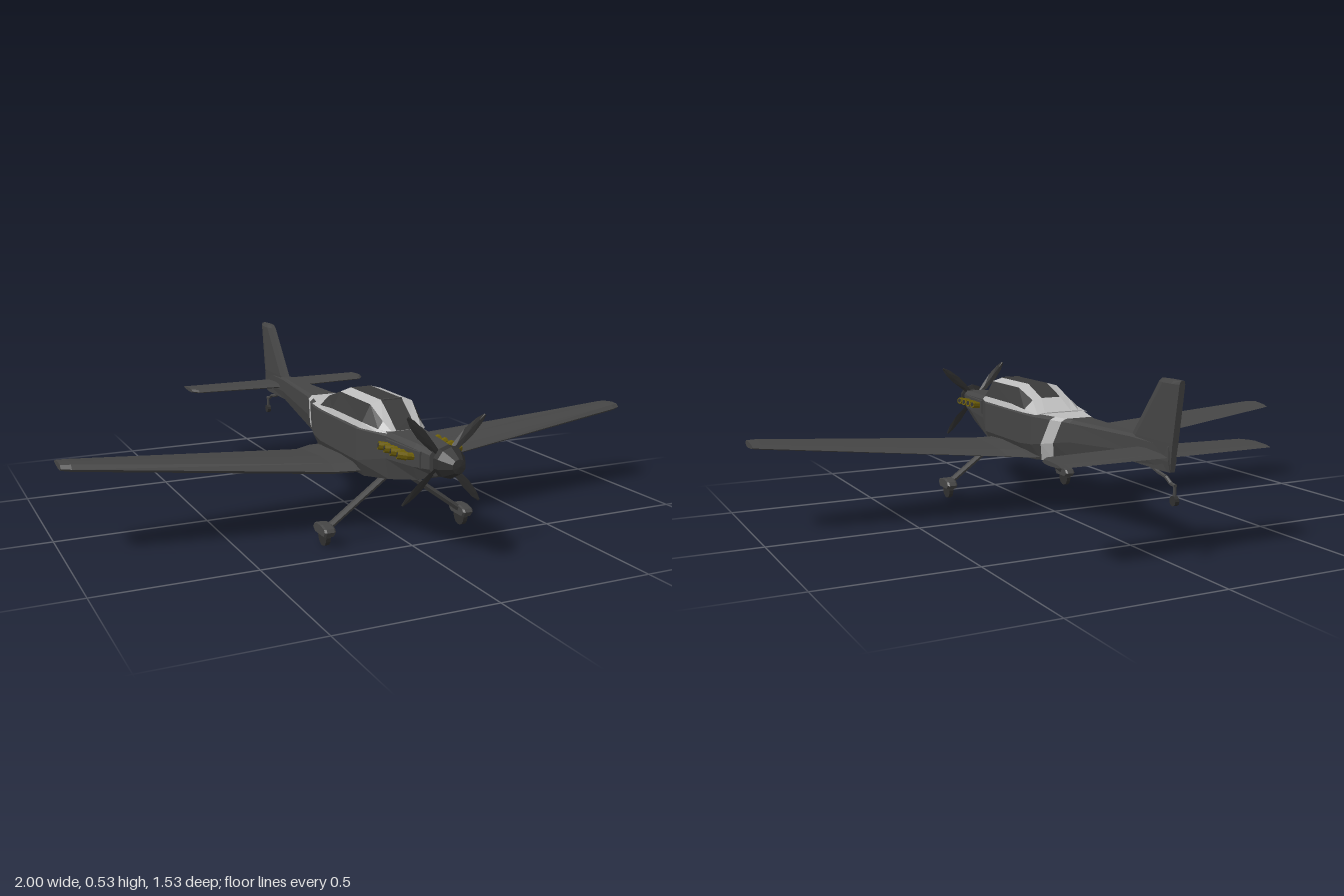
import * as THREE from 'three';

const material = (name, color) => {
  const m = new THREE.MeshStandardMaterial({ color, flatShading: true });
  m.name = name;
  return m;
};
const V = (x, y, z) => new THREE.Vector3(x, y, z);

// Closed flat-faced skin through rings of points; pick(row, column) chooses the material
function loft(name, rings, mats, pick = () => 0) {
  const lists = mats.map(() => []);
  const n = rings[0].length;
  for (let i = 0; i < rings.length - 1; i++) {
    for (let j = 0; j < n; j++) {
      const k = (j + 1) % n;
      const a = rings[i][j], b = rings[i][k], c = rings[i + 1][k], d = rings[i + 1][j];
      lists[pick(i, j)].push([a, b, c], [a, c, d]);
    }
  }
  const last = rings[rings.length - 1];
  for (let j = 1; j < n - 1; j++) {
    lists[0].push([rings[0][0], rings[0][j + 1], rings[0][j]], [last[0], last[j], last[j + 1]]);
  }
  // Turn the faces outward
  let volume = 0;
  lists.flat().forEach(([a, b, c]) => { volume += a.dot(b.clone().cross(c)); });
  const geo = new THREE.BufferGeometry();
  const pts = [];
  lists.forEach((tris, m) => {
    geo.addGroup(pts.length, tris.length * 3, m);
    tris.forEach(([a, b, c]) => pts.push(...(volume < 0 ? [a, c, b] : [a, b, c])));
  });
  geo.setFromPoints(pts);
  geo.computeVertexNormals();
  const mesh = new THREE.Mesh(geo, mats);
  mesh.name = name;
  return mesh;
}

// Straight round bar between two points
function rod(name, a, b, r, mat, sides = 8, r2 = r) {
  const mesh = new THREE.Mesh(new THREE.CylinderGeometry(r2, r, a.distanceTo(b), sides), mat);
  mesh.position.copy(a).add(b).multiplyScalar(0.5);
  mesh.quaternion.setFromUnitVectors(V(0, 1, 0), b.clone().sub(a).normalize());
  mesh.name = name;
  return mesh;
}

const mirrorRing = (half) => [...half, ...half.map((p) => V(-p.x, p.y, p.z)).reverse()];

// Fuselage table: z, top half width, side half width, top y, shoulder y, lower y, bottom half width, bottom y
const HULL = [
  [0.68, 0.035, 0.046, 0.350, 0.337, 0.295, 0.030, 0.273],
  [0.60, 0.043, 0.057, 0.354, 0.341, 0.285, 0.040, 0.243],
  [0.45, 0.058, 0.070, 0.357, 0.345, 0.275, 0.058, 0.208],
  [0.33, 0.098, 0.113, 0.358, 0.347, 0.245, 0.085, 0.191],
  [0.05, 0.098, 0.113, 0.357, 0.347, 0.245, 0.085, 0.191],
  [-0.03, 0.088, 0.104, 0.355, 0.345, 0.250, 0.078, 0.195],
  [-0.20, 0.040, 0.051, 0.352, 0.342, 0.280, 0.036, 0.222],
  [-0.52, 0.014, 0.020, 0.354, 0.345, 0.300, 0.012, 0.268],
  [-0.72, 0.010, 0.014, 0.350, 0.342, 0.300, 0.009, 0.270],
];
function hullAt(z) {
  let i = 0;
  while (i < HULL.length - 2 && z < HULL[i + 1][0]) i++;
  const t = (HULL[i][0] - z) / (HULL[i][0] - HULL[i + 1][0]);
  return HULL[i].map((v, k) => v + (HULL[i + 1][k] - v) * t);
}
function hullRing(zTop, zBottom = zTop) {
  const at = (f) => hullAt(zTop + (zBottom - zTop) * f);
  const a = at(0), b = at(0.08), c = at(0.65), d = at(1);
  return mirrorRing([V(a[1], a[3], a[0]), V(b[2], b[4], b[0]), V(c[2], c[5], c[0]), V(d[6], d[7], d[0])]);
}

export function createModel() {
  const plane = new THREE.Group();
  plane.name = 'propellerPlane';
  const grey = material('darkGrey', 0x454545);
  const light = material('lightGrey', 0xbcbcbc);
  const glass = material('smokedGlass', 0x3a3a3a);
  const dark = material('nearBlack', 0x303030);
  const brass = material('brass', 0x6e5f08);

  // Fuselage with a slanted light band and a light deck behind the canopy
  const stations = [[0.68], [0.6], [0.45], [0.33], [0.05], [-0.03, -0.02], [-0.12, -0.045],
    [-0.17, -0.105], [-0.2, -0.19], [-0.52], [-0.72]];
  plane.add(loft('fuselage', stations.map((s) => hullRing(...s)), [grey, light],
    (i, j) => (i === 6 || (i === 5 && j === 7) ? 1 : 0)));

  // Canopy: z, base half width, glass top half width, roof half width, base y, roof y
  const canopy = [
    [0.45, 0.062, 0.050, 0.034, 0.352, 0.358],
    [0.415, 0.084, 0.062, 0.035, 0.352, 0.387],
    [0.35, 0.107, 0.073, 0.036, 0.352, 0.435],
    [0.13, 0.110, 0.074, 0.036, 0.352, 0.435],
    [0.03, 0.108, 0.070, 0.036, 0.352, 0.397],
    [-0.05, 0.098, 0.064, 0.036, 0.352, 0.358],
  ].map(([z, b, g, r, y0, y1]) => {
    const h = y1 - y0;
    return mirrorRing([V(r, y1, z), V(g, y1 - h * 0.13, z), V(b - 0.006, y0 + h * 0.22, z), V(b, y0, z)]);
  });
  plane.add(loft('canopy', canopy, [light, glass], (i, j) => {
    const roof = j === 7 && i < 4;
    const side = (j === 1 || j === 5) && i > 0 && i < 4;
    return roof || side ? 1 : 0;
  }));
  // Roof hoop over the windshield
  const hoop = new THREE.Mesh(new THREE.BoxGeometry(0.072, 0.004, 0.008), grey);
  hoop.name = 'windshieldHoop';
  hoop.position.set(0, 0.435, 0.35);
  plane.add(hoop);

  // Main wing: x, leading z, trailing z, bottom y, top y
  const wingHalf = [
    [0.11, 0.33, -0.045, 0.19, 0.235],
    [0.18, 0.322, 0.0, 0.193, 0.236],
    [0.97, 0.225, 0.1, 0.276, 0.303],
    [1.0, 0.215, 0.106, 0.281, 0.303],
  ];
  const foil = ([x, le, te, yb, yt]) => {
    const c = le - te, h = yt - yb;
    return [V(x, yb + h * 0.45, le), V(x, yt - h * 0.1, le - c * 0.1), V(x, yt, le - c * 0.35),
      V(x, yb + h * 0.75, te + c * 0.2), V(x, yb + h * 0.4, te), V(x, yb + h * 0.15, te + c * 0.2),
      V(x, yb, le - c * 0.35), V(x, yb + h * 0.1, le - c * 0.1)];
  };
  const both = (half) => [...half.map((s) => [-s[0], ...s.slice(1)]).reverse(), ...half];
  plane.add(loft('wing', both(wingHalf).map(foil), [grey]));

  // Tailplane
  plane.add(loft('tailplane', both([
    [0.01, -0.548, -0.717, 0.303, 0.323],
    [0.335, -0.573, -0.717, 0.305, 0.321],
    [0.355, -0.6, -0.717, 0.306, 0.320],
  ]).map(foil), [grey]));

  // Fin and rudder: y, front z, rear z, half width
  plane.add(loft('fin', [
    [0.268, -0.53, -0.72, 0.012],
    [0.354, -0.518, -0.734, 0.017],
    [0.525, -0.657, -0.763, 0.016],
    [0.535, -0.667, -0.765, 0.011],
  ].map(([y, f, r, w]) => [V(w * 0.5, y, f), V(w, y, f - 0.03), V(w, y, r + 0.03), V(w * 0.6, y, r),
    V(-w * 0.6, y, r), V(-w, y, r + 0.03), V(-w, y, f - 0.03), V(-w * 0.5, y, f)]), [grey]));

  // Spinner
  const profile = [[0, 0.68], [0.032, 0.68], [0.034, 0.7], [0.05, 0.703], [0.047, 0.722], [0.022, 0.767], [0, 0.77]];
  const spinner = new THREE.Mesh(
    new THREE.LatheGeometry(profile.map(([r, z]) => new THREE.Vector2(r, z)), 10), dark);
  spinner.name = 'spinner';
  spinner.rotation.x = Math.PI / 2;
  spinner.position.y = 0.32;
  plane.add(spinner);

  // Four twisted blades
  const propeller = new THREE.Group();
  propeller.name = 'propeller';
  propeller.position.set(0, 0.32, 0.682);
  for (let k = 0; k < 4; k++) {
    const blade = loft('blade', [[0.02, 0.008, 0.9], [0.06, 0.014, 0.7], [0.11, 0.017, 0.5], [0.155, 0.012, 0.35], [0.181, 0.004, 0.3]]
      .map(([r, w, tw]) => [[w, 0], [0, 0.003], [-w, 0], [0, -0.003]].map(([u, v]) =>
        V(u * Math.cos(tw) - v * Math.sin(tw) + r * r * 0.3, r, (u * Math.sin(tw) + v * Math.cos(tw)) * 0.6))), [dark]);
    blade.rotation.z = Math.PI / 4 + k * Math.PI / 2;
    propeller.add(blade);
  }
  plane.add(propeller);

  for (const s of [1, -1]) {
    // Exhaust stubs set in a raised cowl panel
    plane.add(loft('exhaustPanel', [[0.455, 0.07], [0.64, 0.0525]].map(([z, x]) => [
      V(s * (x + 0.004), 0.338, z), V(s * (x + 0.004), 0.29, z), V(s * (x - 0.01), 0.285, z), V(s * (x - 0.01), 0.343, z)]), [grey]));
    for (const z of [0.478, 0.518, 0.558, 0.6]) {
      plane.add(rod('exhaustStub', V(s * 0.045, 0.315, z + 0.004), V(s * 0.082, 0.321, z), 0.011, brass));
      plane.add(rod('exhaustTip', V(s * 0.078, 0.32, z), V(s * 0.105, 0.325, z - 0.008), 0.013, brass));
      plane.add(rod('exhaustMouth', V(s * 0.1045, 0.325, z - 0.0075), V(s * 0.106, 0.3252, z - 0.008), 0.008, dark));
    }

    // Main gear: leg, wheel fairing and wheel
    plane.add(rod('gearLeg', V(s * 0.02, 0.212, 0.385), V(s * 0.243, 0.05, 0.385), 0.011, grey, 6));
    plane.add(loft('wheelFairing', [0.225, 0.231, 0.256, 0.262].map((x, i) => {
      const k = i % 3 ? 1 : 0.88;
      return [[0.052, 0.055], [0.045, 0.065], [0.015, 0.072], [-0.015, 0.072], [-0.04, 0.065], [-0.05, 0.052],
        [-0.035, 0.038], [0.04, 0.038]].map(([z, y]) => V(s * x, 0.053 + (y - 0.053) * k, 0.38 + z * k));
    }), [grey]));
    plane.add(rod('mainWheel', V(s * 0.236, 0.032, 0.38), V(s * 0.251, 0.032, 0.38), 0.032, dark, 14));
  }

  // Tail wheel on a bent spring
  const spring = [V(0, 0.272, -0.6), V(0, 0.257, -0.65), V(0, 0.25, -0.69), V(0, 0.235, -0.715), V(0, 0.232, -0.738)];
  for (let i = 0; i < 4; i++) plane.add(rod('tailSpring', spring[i], spring[i + 1], 0.006, grey, 6));
  plane.add(rod('tailFork', V(0, 0.235, -0.734), V(0, 0.188, -0.734), 0.005, grey, 6));
  plane.add(rod('tailWheel', V(-0.007, 0.188, -0.734), V(0.007, 0.188, -0.734), 0.015, dark, 12));
  return plane;
}
